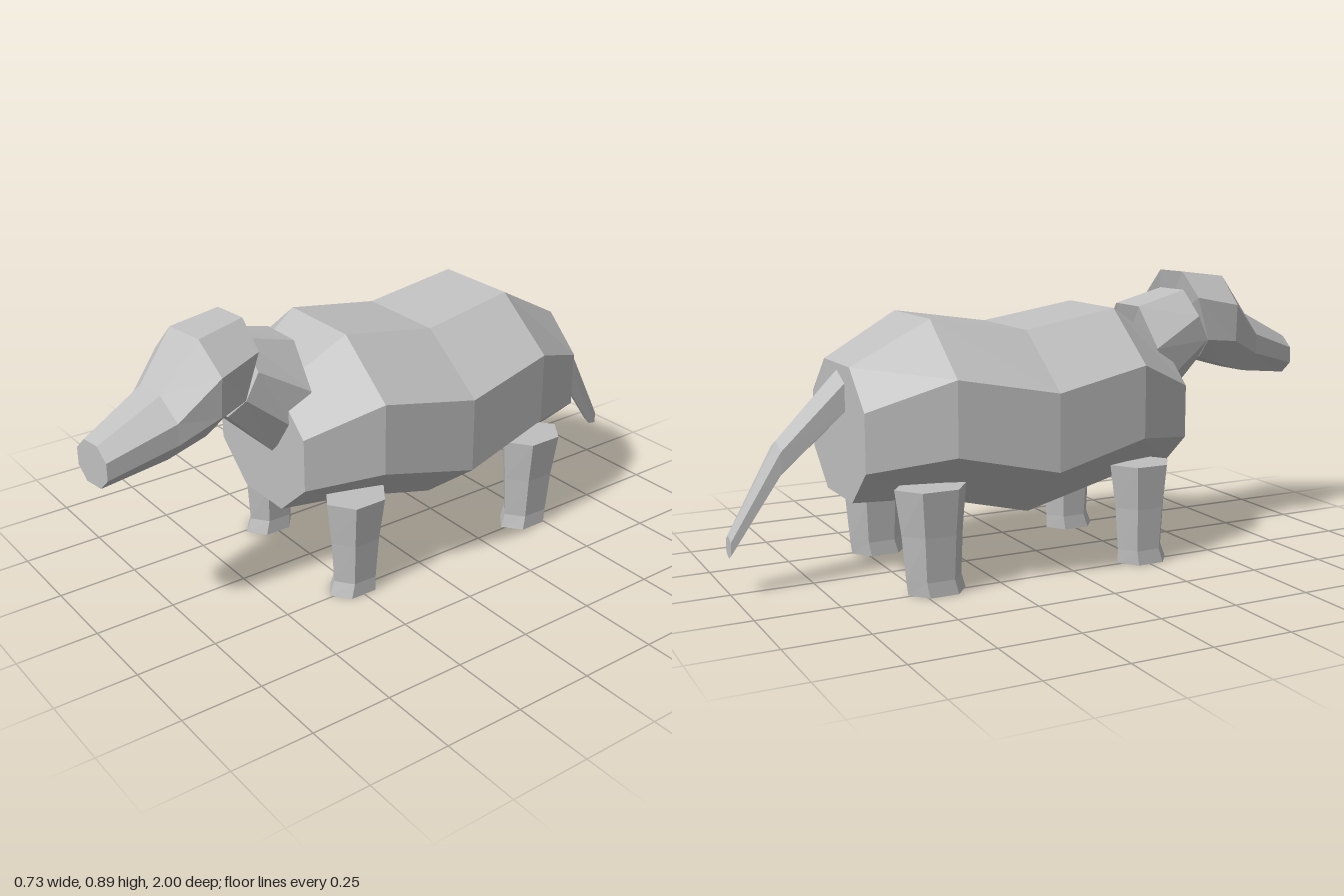
import * as THREE from 'three';

const hide = new THREE.MeshStandardMaterial({ color: 0xbfbfbf, flatShading: true });
hide.name = 'grey hide';

// Skins a list of rings (each the same number of [x, y, z] corners) and caps both ends.
function loft(name, rings) {
  const pos = [];
  const tri = (a, b, c) => pos.push(...a, ...b, ...c);
  const n = rings[0].length;
  for (let r = 0; r < rings.length - 1; r++) {
    for (let i = 0; i < n; i++) {
      const j = (i + 1) % n;
      const [a, b, c, d] = [rings[r][i], rings[r][j], rings[r + 1][j], rings[r + 1][i]];
      tri(a, b, c);
      tri(a, c, d);
    }
  }
  const first = rings[0], last = rings[rings.length - 1];
  for (let i = 1; i < n - 1; i++) {
    tri(first[0], first[i + 1], first[i]);
    tri(last[0], last[i], last[i + 1]);
  }
  const geo = new THREE.BufferGeometry();
  geo.setAttribute('position', new THREE.Float32BufferAttribute(pos, 3));
  geo.computeVertexNormals();
  const mesh = new THREE.Mesh(geo, hide);
  mesh.name = name;
  return mesh;
}

// Octagonal section: centre x, half widths [bottom, low, high, top], heights and depths
// in the same order; turn slides the section's +x side backwards.
function octagon(cx, w, y, z, turn = 0) {
  const corner = (s, k) => [cx + s * w[k], y[k], z[k] - s * w[k] * turn];
  return [
    ...[1, 2, 3].map((k) => corner(1, k)),
    ...[3, 2, 1, 0].map((k) => corner(-1, k)),
    corner(1, 0),
  ];
}

// Hexagonal leg section with corners pointing forwards and backwards.
function legRing(x, y, rx, zBack, zFront) {
  const ring = [];
  for (let i = 0; i < 6; i++) {
    const a = (i * Math.PI) / 3;
    ring.push([
      x + (rx * Math.sin(a)) / Math.sin(Math.PI / 3),
      y,
      (zBack + zFront) / 2 + ((zFront - zBack) / 2) * Math.cos(a),
    ]);
  }
  return ring;
}

export function createModel() {
  const model = new THREE.Group();
  model.name = 'animal';

  // Barrel body, rump to chest
  const body = [
    [-0.66, 0.11, 0.23, 0.11, [0.26, 0.37, 0.545, 0.66]],
    [-0.42, 0.14, 0.335, 0.14, [0.255, 0.413, 0.637, 0.79]],
    [-0.11, 0.155, 0.367, 0.15, [0.182, 0.345, 0.58, 0.742]],
    [0.2, 0.14, 0.335, 0.14, [0.255, 0.413, 0.637, 0.793]],
    [0.415, 0.1, 0.23, 0.1, [0.265, 0.38, 0.545, 0.66]],
  ];
  model.add(loft('body', body.map(([z, b, w, t, y]) => octagon(0, [b, w, w, t], y, [z, z, z, z]))));

  // Neck, rising to the turned head
  model.add(loft('neck', [
    octagon(0, [0.067, 0.157, 0.172, 0.07], [0.45, 0.555, 0.66, 0.785], [0.42, 0.4, 0.345, 0.335]),
    octagon(0.005, [0.06, 0.13, 0.135, 0.06], [0.6, 0.67, 0.75, 0.83], [0.57, 0.555, 0.515, 0.51], 0.1),
  ]));

  // Head, from the back of the skull to the snout
  model.add(loft('head', [
    octagon(0.003, [0.06, 0.13, 0.135, 0.057], [0.605, 0.67, 0.81, 0.89], [0.575, 0.555, 0.51, 0.505], 0.1),
    octagon(0.02, [0.07, 0.15, 0.157, 0.068], [0.575, 0.66, 0.78, 0.87], [0.66, 0.66, 0.657, 0.665], 0.11),
    octagon(0.038, [0.055, 0.115, 0.115, 0.048], [0.54, 0.605, 0.67, 0.735], [0.785, 0.785, 0.785, 0.79], 0.12),
    octagon(0.062, [0.033, 0.07, 0.07, 0.031], [0.515, 0.552, 0.605, 0.643], [0.99, 0.99, 0.99, 0.99], 0.13),
  ]));

  // Tail, ridged above and below, tip to root
  const tail = [
    [-1, -1, 0.028, 0.11, 0.178],
    [-0.85, -0.85, 0.05, 0.33, 0.445],
    [-0.65, -0.635, 0.068, 0.5, 0.665],
  ];
  model.add(loft('tail', tail.map(([zLow, zTop, w, low, top]) => {
    const h = top - low;
    const at = (x, k) => [x, low + h * k, zLow + (zTop - zLow) * k];
    return [at(0, 0), at(w, 0.22), at(w, 0.78), at(0, 1), at(-w, 0.78), at(-w, 0.22)];
  })));

  // Four legs, sole to shoulder: height, half width, back and front depth
  const frontLeg = [
    [0, 0.057, 0.165, 0.34],
    [0.045, 0.053, 0.165, 0.322],
    [0.18, 0.062, 0.155, 0.33],
    [0.318, 0.077, 0.135, 0.345],
  ];
  const backLeg = [
    [0, 0.057, -0.542, -0.36],
    [0.045, 0.053, -0.548, -0.373],
    [0.18, 0.062, -0.56, -0.367],
    [0.318, 0.077, -0.58, -0.355],
  ];
  for (const [side, s] of [['left', 1], ['right', -1]]) {
    for (const [name, rows] of [['FrontLeg', frontLeg], ['BackLeg', backLeg]]) {
      model.add(loft(side + name, rows.map(([y, rx, back, front]) => legRing(s * 0.24, y, rx, back, front))));
    }
  }
  return model;
}
